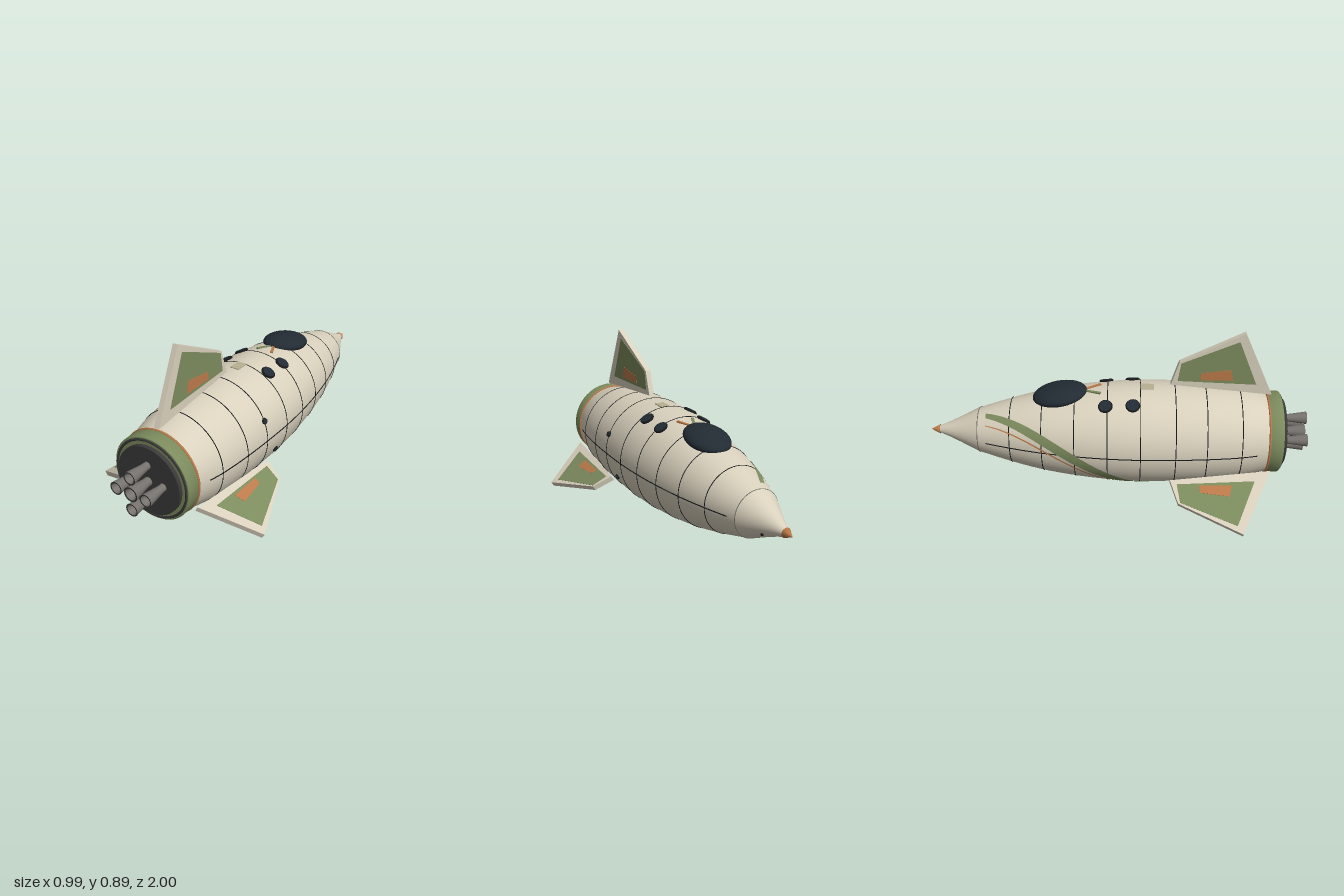
import * as THREE from 'three';

const mat = (color) => new THREE.MeshStandardMaterial({ color, side: THREE.DoubleSide });
const CREAM = mat(0xd9d1bd), GREEN = mat(0x7d8c5e), COPPER = mat(0xbc7a4a), DARK = mat(0x3a3a3a);
const BLACK = mat(0x16181a), GLASS = mat(0x222b33), STEEL = mat(0x77736e), TAN = mat(0xb9b192);

// Hull radius against z, nose to tail
const hullPoints = new THREE.SplineCurve([
  [-0.74, 0.118], [-0.57, 0.17], [-0.4, 0.213], [-0.22, 0.244], [-0.05, 0.263],
  [0.12, 0.272], [0.3, 0.27], [0.46, 0.263], [0.64, 0.245], [0.79, 0.212],
].map(([z, r]) => new THREE.Vector2(r, z))).getPoints(54);

function radiusAt(z) {
  const i = Math.max(1, hullPoints.findIndex((p) => p.y >= z));
  const a = hullPoints[i - 1], b = hullPoints[i];
  return THREE.MathUtils.lerp(a.x, b.x, (z - a.y) / (b.y - a.y));
}

// Point on the hull; angle is measured from the top towards -x
function onHull(angle, z, lift = 0) {
  const r = radiusAt(z) + lift;
  return new THREE.Vector3(-Math.sin(angle) * r, Math.cos(angle) * r, z);
}

function add(parent, name, geometry, material) {
  const mesh = new THREE.Mesh(geometry, material);
  mesh.name = name;
  parent.add(mesh);
  return mesh;
}

// Turned part along z; profile is [z, radius] pairs or Vector2 points
function turned(parent, name, profile, material, sides = 64) {
  const points = profile.map((p) => (p.isVector2 ? p : new THREE.Vector2(p[1], p[0])));
  const geometry = new THREE.LatheGeometry(points, sides).rotateX(Math.PI / 2);
  return add(parent, name, geometry, material);
}

function ring(parent, name, z, radius, tube, material) {
  const mesh = add(parent, name, new THREE.TorusGeometry(radius, tube, 6, 64), material);
  mesh.position.z = z;
  return mesh;
}

// Turn an object's +z outwards on the hull surface
function seat(object, angle, z, lift = 0) {
  const slope = (radiusAt(z + 0.02) - radiusAt(z - 0.02)) / 0.04;
  const normal = new THREE.Vector3(-Math.sin(angle), Math.cos(angle), -slope).normalize();
  object.position.copy(onHull(angle, z, lift));
  object.quaternion.setFromUnitVectors(new THREE.Vector3(0, 0, 1), normal);
}

function porthole(parent, name, angle, z, radius) {
  const group = new THREE.Group();
  group.name = name;
  add(group, 'glass', new THREE.CylinderGeometry(radius * 0.85, radius * 0.85, 0.016, 24).rotateX(Math.PI / 2), GLASS);
  add(group, 'rim', new THREE.TorusGeometry(radius * 0.85, radius * 0.17, 8, 28), BLACK);
  seat(group, angle, z, 0.002);
  parent.add(group);
}

// Painted band winding round the hull, from nose top to tail underside
function windingStripe(parent, name, offset, width, lift, material) {
  const steps = 72, positions = [], index = [];
  for (let i = 0; i <= steps; i++) {
    const z = THREE.MathUtils.lerp(-0.69, 0.62, i / steps);
    const r = radiusAt(z);
    const middle = THREE.MathUtils.degToRad(25 + 150 * (z + 0.69));
    const half = width * (0.4 + 0.6 * Math.sin((i / steps) * Math.PI)) / 2;
    for (let j = 0; j <= 4; j++) {
      const angle = middle + (offset + half * (j / 2 - 1)) / r;
      positions.push(...onHull(angle, z, lift).toArray());
      if (i < steps && j < 4) {
        const a = i * 5 + j;
        index.push(a, a + 5, a + 1, a + 1, a + 5, a + 6);
      }
    }
  }
  const geometry = new THREE.BufferGeometry();
  geometry.setAttribute('position', new THREE.Float32BufferAttribute(positions, 3));
  geometry.setIndex(index);
  geometry.computeVertexNormals();
  add(parent, name, geometry, material);
}

// Flat plate from [z, radius] corners; span stretches it away from the root
function plate(parent, name, corners, span, depth, material) {
  const shape = new THREE.Shape(corners.map(([z, r]) => new THREE.Vector2(z, 0.24 + (r - 0.24) * span)));
  const geometry = new THREE.ExtrudeGeometry(shape, { depth, bevelEnabled: false });
  geometry.translate(0, 0, -depth / 2).rotateY(-Math.PI / 2);
  add(parent, name, geometry, material);
}

function fin(parent, name, turn, span) {
  const group = new THREE.Group();
  group.name = name;
  plate(group, 'blade', [[0.8, 0.238], [0.275, 0.295], [0.315, 0.425], [0.64, 0.59]], span, 0.028, CREAM);
  plate(group, 'panel', [[0.715, 0.298], [0.31, 0.318], [0.325, 0.42], [0.613, 0.545]], span, 0.031, GREEN);
  plate(group, 'marking', [[0.595, 0.322], [0.425, 0.325], [0.43, 0.365], [0.58, 0.385]], span, 0.034, COPPER);
  group.rotation.z = turn;
  parent.add(group);
}

function engine(parent, x, y, scale) {
  const group = new THREE.Group();
  group.name = 'engine';
  turned(group, 'bell', [[0.87, 0.02], [0.89, 0.019], [0.92, 0.022], [0.96, 0.028], [1, 0.033]], STEEL, 28);
  turned(group, 'lip', [[1, 0.033], [0.999, 0.026]], DARK, 28);
  turned(group, 'innerWall', [[0.999, 0.026], [0.955, 0.017]], STEEL, 28);
  add(group, 'throat', new THREE.CircleGeometry(0.018, 24), BLACK).position.z = 0.957;
  group.position.set(x, y, 0);
  group.scale.set(scale, scale, 1);
  parent.add(group);
}

export function createModel() {
  const model = new THREE.Group();
  model.name = 'rocket';
  const body = new THREE.Group();
  body.name = 'body';
  body.position.set(0.018, 0.305, 0);
  model.add(body);

  // Hull and nose
  turned(body, 'hull', hullPoints, CREAM);
  turned(body, 'noseCone', [[-0.96, 0.016], [-0.9, 0.041], [-0.84, 0.069], [-0.78, 0.099], [-0.74, 0.119], [-0.73, 0.123]], CREAM);
  ring(body, 'noseSeam', -0.734, 0.12, 0.003, STEEL);
  turned(body, 'noseTip', [[-1, 0], [-0.953, 0.025], [-0.952, 0]], COPPER, 24);

  // Panel seams
  for (const z of [-0.56, -0.39, -0.22, -0.05, 0.12, 0.3, 0.46, 0.64]) {
    ring(body, 'ringSeam', z, radiusAt(z), 0.0025, BLACK);
  }
  for (const side of [-1, 1]) {
    const path = [];
    for (let i = 0; i <= 20; i++) path.push(onHull(side * Math.PI / 2, -0.69 + i * 0.0705));
    add(body, 'sideSeam', new THREE.TubeGeometry(new THREE.CatmullRomCurve3(path), 40, 0.003, 6), BLACK);
  }

  // Painted stripes
  windingStripe(body, 'wideStripe', 0, 0.07, 0.0035, GREEN);
  windingStripe(body, 'thinStripe', 0.055, 0.012, 0.0035, COPPER);

  // Canopy
  const canopy = add(body, 'canopy', new THREE.SphereGeometry(1, 40, 24), GLASS);
  canopy.scale.set(0.11, 0.048, 0.145);
  canopy.position.set(0, 0.228, -0.3);
  canopy.rotation.x = -0.16;

  // Portholes and small ports
  for (const z of [-0.06, 0.08]) {
    for (const side of [-1, 1]) porthole(body, 'porthole', side * 0.5, z, 0.037);
  }
  porthole(body, 'upperSidePort', -1.17, 0.3, 0.016);
  porthole(body, 'lowerSidePort', -1.97, 0.2, 0.016);
  const nosePort = add(body, 'nosePort', new THREE.SphereGeometry(0.008, 12, 8), BLACK);
  nosePort.position.set(0.051, -0.04, -0.85);

  // Strips behind the canopy and top hatch
  for (const side of [-1, 1]) {
    const strip = add(body, 'canopyStrip', new THREE.BoxGeometry(0.014, 0.008, 0.085), side > 0 ? COPPER : GREEN);
    strip.position.set(side * 0.027, radiusAt(-0.125), -0.125);
    strip.rotation.set(-0.1, side * 0.42, 0);
  }
  const hatch = add(body, 'hatch', new THREE.BoxGeometry(0.05, 0.008, 0.07), TAN);
  hatch.position.set(0, 0.272, 0.155);

  // Underside vent slats
  for (let i = 0; i < 5; i++) {
    const slat = add(body, 'ventSlat', new THREE.BoxGeometry(0.017, 0.006, 0.012), BLACK);
    slat.position.set(-0.208 + i * 0.025, -0.238, 0.67);
  }

  // Fins
  fin(body, 'topFin', 0, 1);
  fin(body, 'rightFin', Math.PI * 2 / 3, 0.985);
  fin(body, 'leftFin', -Math.PI * 2 / 3, 0.85);

  // Tail collar
  ring(body, 'collarTrim', 0.784, 0.216, 0.006, COPPER);
  turned(body, 'collar', [[0.786, 0.2], [0.79, 0.217], [0.85, 0.217], [0.857, 0.211]], GREEN);
  turned(body, 'collarFace', [[0.857, 0.211], [0.857, 0.16]], GREEN);
  ring(body, 'collarGroove', 0.856, 0.2, 0.007, DARK);
  const base = add(body, 'basePlate', new THREE.CylinderGeometry(0.177, 0.177, 0.04, 64).rotateX(Math.PI / 2), DARK);
  base.position.z = 0.858;

  // Engines
  engine(body, 0, 0, 1.15);
  for (let i = 0; i < 4; i++) {
    const a = i * Math.PI / 2;
    engine(body, Math.cos(a) * 0.085, Math.sin(a) * 0.085, 1);
  }
  return model;
}
